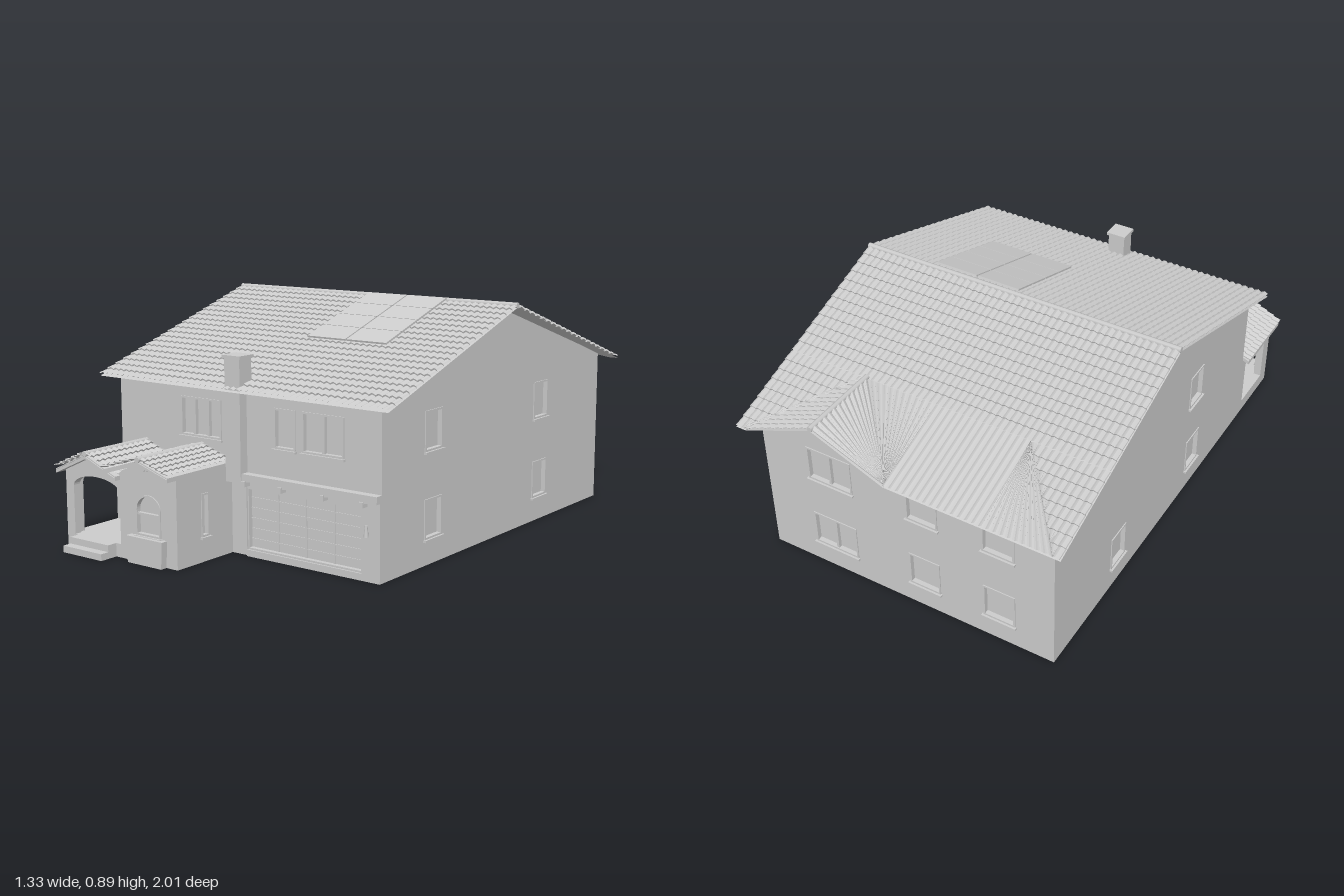
import * as THREE from 'three';

const stone = new THREE.MeshStandardMaterial({ color: 0xcccccc, side: THREE.DoubleSide });
stone.name = 'pale grey';
const V = (x, y, z) => new THREE.Vector3(x, y, z);

function add(parent, name, geo) {
  const m = new THREE.Mesh(geo, stone);
  m.name = name;
  parent.add(m);
  return m;
}

// Box given by its limits
function box(parent, name, x0, x1, y0, y1, z0, z1) {
  const m = add(parent, name, new THREE.BoxGeometry(x1 - x0, y1 - y0, z1 - z0));
  m.position.set((x0 + x1) / 2, (y0 + y1) / 2, (z0 + z1) / 2);
  return m;
}

// Extrude a shape from z0 to z1
function slab(parent, name, shape, z0, z1) {
  const geo = new THREE.ExtrudeGeometry(shape, { depth: z1 - z0, bevelEnabled: false, curveSegments: 10 });
  return add(parent, name, geo.translate(0, 0, z0));
}

const polygon = pts => new THREE.Shape(pts.map(p => new THREE.Vector2(p[0], p[1])));

// Rectangular opening, or one with an elliptical head of the given rise
function opening(Type, { x0, x1, y0, y1, rise = 0 }, inset = 0) {
  const a = x0 + inset, b = x1 - inset, c = y0 + inset, d = y1 - inset;
  const p = new Type();
  p.moveTo(a, c);
  p.lineTo(b, c);
  p.lineTo(b, d - rise);
  if (rise) p.absellipse((a + b) / 2, d - rise, (b - a) / 2, rise, 0, Math.PI, false);
  else p.lineTo(a, d);
  p.lineTo(a, c);
  return p;
}

const win = (x0, x1, y0, y1, panes = 1, extra = {}) => ({ x0, x1, y0, y1, panes, sill: true, ...extra });

// Wall with its outer face at local z = 0, with framed windows set into it
function wall(parent, name, pts, wins, pos, turn = 0, t = 0.022) {
  const g = new THREE.Group();
  g.name = name;
  const shape = polygon(pts);
  wins.forEach(w => shape.holes.push(opening(THREE.Path, w)));
  slab(g, name + 'Panel', shape, -t, 0);
  for (const w of wins) {
    if (w.open) continue;
    const frame = opening(THREE.Shape, w);
    frame.holes.push(opening(THREE.Path, w, 0.007));
    slab(g, 'windowFrame', frame, -t, 0.004);
    slab(g, 'windowPane', opening(THREE.Shape, w, 0.004), -0.02, -0.014);
    for (let i = 1; i < w.panes; i++) {
      const x = w.x0 + (w.x1 - w.x0) * i / w.panes;
      box(g, 'mullion', x - 0.005, x + 0.005, w.y0, w.y1, -0.016, 0);
    }
    if (w.bar) box(g, 'crossBar', w.x0, w.x1, w.bar - 0.004, w.bar + 0.004, -0.016, 0);
    if (w.sill) box(g, 'sill', w.x0 - 0.005, w.x1 + 0.005, w.y0 - 0.008, w.y0, -0.01, 0.012);
  }
  g.position.set(...pos);
  g.rotation.y = turn;
  parent.add(g);
  return g;
}

// Ribbed, stepped tile sheet. U runs along the ridge, D from ridge to eave;
// top and bottom give the limits along U at the ridge and at the eave.
function tiles(parent, name, O, U, D, top, bottom, rows, lift = 0, wave = 0.007, step = 0.006) {
  const N = U.clone().cross(D).normalize();
  if (N.y < 0) N.negate();
  const st = 0.0276 / 4;
  const k0 = Math.floor(Math.min(top[0], bottom[0]) / st), k1 = Math.ceil(Math.max(top[1], bottom[1]) / st);
  const n = k1 - k0 + 1, pos = [], idx = [];
  const rib = [0, 0.6, 1, 0.6];
  for (let j = 0; j < rows * 2; j++) {
    const s = Math.ceil(j / 2) / rows;
    const lo = THREE.MathUtils.lerp(top[0], bottom[0], s), hi = THREE.MathUtils.lerp(top[1], bottom[1], s);
    for (let k = k0; k <= k1; k++) {
      const u = Math.min(Math.max(k * st, lo), hi);
      const h = lift + (j % 2) * step + wave * rib[((k % 4) + 4) % 4];
      const p = O.clone().addScaledVector(U, u).addScaledVector(D, s).addScaledVector(N, h);
      pos.push(p.x, p.y, p.z);
      const a = (j - 1) * n + k - k0 - 1, b = a + n;
      if (j && k > k0) idx.push(a, b, b + 1, a, b + 1, a + 1);
    }
  }
  let geo = new THREE.BufferGeometry();
  geo.setAttribute('position', new THREE.Float32BufferAttribute(pos, 3));
  // Face the sheet upward
  const flip = D.clone().cross(U).y < 0;
  if (flip) for (let i = 0; i < idx.length; i += 3) [idx[i + 1], idx[i + 2]] = [idx[i + 2], idx[i + 1]];
  geo.setIndex(idx);
  geo = geo.toNonIndexed();
  geo.computeVertexNormals();
  add(parent, name, geo);
  if (wave) tiles(parent, name + 'Underside', O, U, D, top, bottom, 1, -0.004, 0, 0);
}

function ridgeCap(parent, p, length, alongX) {
  const m = add(parent, 'ridgeCap', new THREE.CylinderGeometry(0.011, 0.011, length, 8));
  m.position.copy(p);
  if (alongX) m.rotation.z = Math.PI / 2; else m.rotation.x = Math.PI / 2;
}

function houseWalls(g) {
  const up = [0.41, 0.555], low = [0.095, 0.24];
  const front = wall(g, 'frontWall', [[-0.61, 0], [0.6, 0], [0.6, 0.625], [-0.61, 0.625]], [
    win(-0.3, -0.105, ...up, 3), win(0.14, 0.235, ...up), win(0.265, 0.445, ...up, 2),
    win(-0.5, -0.385, 0.05, 0.27, 1, { sill: false }),
    win(0.015, 0.525, 0.025, 0.255, 1, { sill: false }),
  ], [0, 0, 0.633]);
  box(front, 'doorLeaf', -0.488, -0.398, 0.052, 0.26, -0.015, -0.01);
  box(front, 'doorHandle', -0.402, -0.397, 0.14, 0.16, -0.012, 0.002);
  // Side walls with gable ends; local x is -z on the left and +z on the right
  const gable = s => [[-0.633 * s, 0], [0.933 * s, 0], [0.933 * s, 0.615], [0.87 * s, 0.63],
    [0.15 * s, 0.86], [-0.56 * s, 0.63], [-0.633 * s, 0.625]];
  const left = [];
  for (const y of [up, low]) left.push(win(-0.375, -0.265, ...y), win(0.39, 0.5, ...y));
  wall(g, 'leftWall', gable(1), left, [0.6, 0, 0], Math.PI / 2);
  wall(g, 'rightWall', gable(-1), [win(0.1, 0.21, ...up), win(0.1, 0.21, ...low), win(-0.52, -0.41, ...low)],
    [-0.61, 0, 0], -Math.PI / 2);
  const back = [];
  for (const y of [up, low]) back.push(win(-0.405, -0.215, ...y, 2), win(0.015, 0.145, ...y), win(0.325, 0.455, ...y));
  wall(g, 'backWall', [[-0.6, 0], [0.61, 0], [0.61, 0.615], [-0.08, 0.615], [-0.32, 0.712], [-0.56, 0.615], [-0.6, 0.615]],
    back, [0, 0, -0.933], Math.PI);
}

function mainRoof(g) {
  const X = V(1, 0, 0), Z = V(0, 0, 1), full = [-0.667, 0.66], ridge = V(0, 0.876, -0.15);
  tiles(g, 'frontRoof', ridge, X, V(0, -0.272, 0.835), full, full, 20);
  tiles(g, 'upperBackRoof', ridge, X, V(0, -0.172, -0.51), full, full, 12);
  // Lower back slope, cut by the valleys of the rear gable
  const mid = V(0, 0.704, -0.66), down = V(0, -0.115, -0.34);
  tiles(g, 'lowerBackRoof', mid, X, down, [-0.667, -0.36], [-0.667, -0.64], 8);
  tiles(g, 'ribbedBackRoof', mid, X, down, [-0.36, 0.32], [-0.64, 0.02], 1, 0.003);
  tiles(g, 'lowerBackRoof', mid, X, down, [0.32, 0.66], [0.62, 0.66], 8);
  const top = V(0.32, 0.716, 0);
  tiles(g, 'rearGableRibs', top, Z, V(-0.3, -0.127, 0), [-1, -0.66], [-1, -0.999], 1, 0.003);
  tiles(g, 'rearGableTiles', top, Z, V(0.3, -0.127, 0), [-1, -0.66], [-1, -0.999], 8);
  ridgeCap(g, V(-0.0035, 0.878, -0.15), 1.327, true);
  ridgeCap(g, V(0.32, 0.717, -0.83), 0.34, false);

  // Solar panels lying on the front slope
  const solar = new THREE.Group();
  solar.name = 'solarPanels';
  for (let c = 0; c < 2; c++) for (let r = 0; r < 4; r++)
    box(solar, 'solarPanel', c * 0.182 + 0.002, c * 0.182 + 0.178, 0.013, 0.02, r * 0.106 + 0.012, r * 0.106 + 0.115);
  solar.position.copy(ridge);
  solar.rotation.x = Math.atan2(0.272, 0.835);
  g.add(solar);

  // Chimney running down the front wall
  box(g, 'chimney', -0.056, 0.014, 0.272, 0.72, 0.605, 0.67);
  box(g, 'chimneyCap', -0.062, 0.02, 0.718, 0.73, 0.598, 0.676);
}

function garage(g) {
  const s = polygon([[0.015, 0], [0.6, 0], [0.6, 0.29], [0.015, 0.29]]);
  s.holes.push(opening(THREE.Path, { x0: 0.015 + 0.002, x1: 0.525, y0: 0.025, y1: 0.255 }));
  slab(g, 'garageSurround', s, 0.633, 0.643);
  for (let i = 1; i < 6; i++) {
    const y = 0.025 + i * 0.038;
    box(g, 'garageDoorRib', 0.022, 0.518, y - 0.002, y + 0.002, 0.618, 0.622);
  }
  for (let i = 1; i < 4; i++) {
    const x = 0.02 + i * 0.125;
    box(g, 'garageDoorPost', x - 0.003, x + 0.003, 0.032, 0.248, 0.618, 0.622);
  }
  // Scalloped canopy over the door
  const c = new THREE.Shape();
  c.moveTo(0.014, 0.307);
  c.lineTo(0.014, 0.275);
  const stops = [0.014, 0.19, 0.375, 0.54];
  for (let i = 1; i < 4; i++) c.quadraticCurveTo((stops[i - 1] + stops[i]) / 2, 0.295, stops[i], 0.272);
  c.quadraticCurveTo(0.57, 0.285, 0.602, 0.28);
  c.lineTo(0.602, 0.307);
  slab(g, 'garageCanopy', c, 0.633, 0.665);
  for (const x of [0.025, 0.19, 0.375, 0.54]) box(g, 'bracket', x - 0.008, x + 0.008, 0.262, 0.282, 0.633, 0.672);
  const lamp = add(g, 'wallLamp', new THREE.CylinderGeometry(0.005, 0.009, 0.04, 8));
  lamp.position.set(0.548, 0.178, 0.65);
}

function porch(g) {
  const w = wall(g, 'porchFront', [[-0.61, 0], [-0.06, 0], [-0.06, 0.33], [-0.2, 0.373], [-0.34, 0.315],
    [-0.48, 0.355], [-0.61, 0.295]], [
    { x0: -0.57, x1: -0.335, y0: 0.05, y1: 0.28, rise: 0.045, open: true },
    win(-0.255, -0.135, 0.1, 0.25, 1, { rise: 0.05, bar: 0.178 }),
  ], [0, 0, 0.925], 0, 0.03);
  // Three small vent pipes in the gable
  for (const [x, y] of [[-0.207, 0.341], [-0.193, 0.341], [-0.2, 0.352]]) {
    const m = add(w, 'ventPipe', new THREE.CylinderGeometry(0.006, 0.006, 0.012, 10));
    m.rotation.x = Math.PI / 2;
    m.position.set(x, y, 0.004);
  }
  const side = h => [[0.625, 0], [0.9, 0], [0.9, h], [0.625, h]];
  wall(g, 'porchSide', side(0.295), [{ x0: 0.67, x1: 0.87, y0: 0.05, y1: 0.28, rise: 0.045, open: true }],
    [-0.61, 0, 0], -Math.PI / 2, 0.03);
  wall(g, 'roomInnerSide', side(0.32), [], [-0.33, 0, 0], -Math.PI / 2);
  wall(g, 'roomOuterSide', side(0.33).map(p => [-p[0], p[1]]), [win(-0.8, -0.76, 0.092, 0.25)], [-0.06, 0, 0], Math.PI / 2);
  box(g, 'porchFloor', -0.608, -0.332, 0, 0.05, 0.633, 0.92);
  box(g, 'upperStep', -0.555, -0.36, 0.025, 0.05, 0.92, 0.965);
  box(g, 'lowerStep', -0.555, -0.36, 0, 0.025, 0.92, 1);
  slab(g, 'planter', polygon([[-0.276, 0], [-0.114, 0], [-0.108, 0.098], [-0.282, 0.098]]), 0.925, 0.952);

  // Two small tiled gables over the porch and the room
  const roofs = [
    { l: [-0.635, 0.293], p: [-0.48, 0.363], r: [-0.33, 0.303], z: 0.955 },
    { l: [-0.378, 0.325], p: [-0.2, 0.38], r: [-0.06, 0.336], z: 0.972 },
  ];
  for (const { l, p, r, z } of roofs) {
    const drop = q => [q[0], q[1] - 0.016];
    slab(g, 'porchRoofBoard', polygon([l, drop(l), drop(p), drop(r), r, p]), 0.634, z - 0.004);
    for (const e of [l, r])
      tiles(g, 'porchRoofTiles', V(p[0], p[1], 0), V(0, 0, 1), V(e[0] - p[0], e[1] - p[1], 0), [0.634, z], [0.634, z], 5, 0.004);
    ridgeCap(g, V(p[0], p[1] + 0.003, (0.634 + z) / 2), z - 0.634, false);
  }
}

export function createModel() {
  const house = new THREE.Group();
  house.name = 'house';
  for (const [name, build] of Object.entries({ walls: houseWalls, roof: mainRoof, garage, porch })) {
    const g = new THREE.Group();
    g.name = name;
    build(g);
    house.add(g);
  }
  return house;
}
